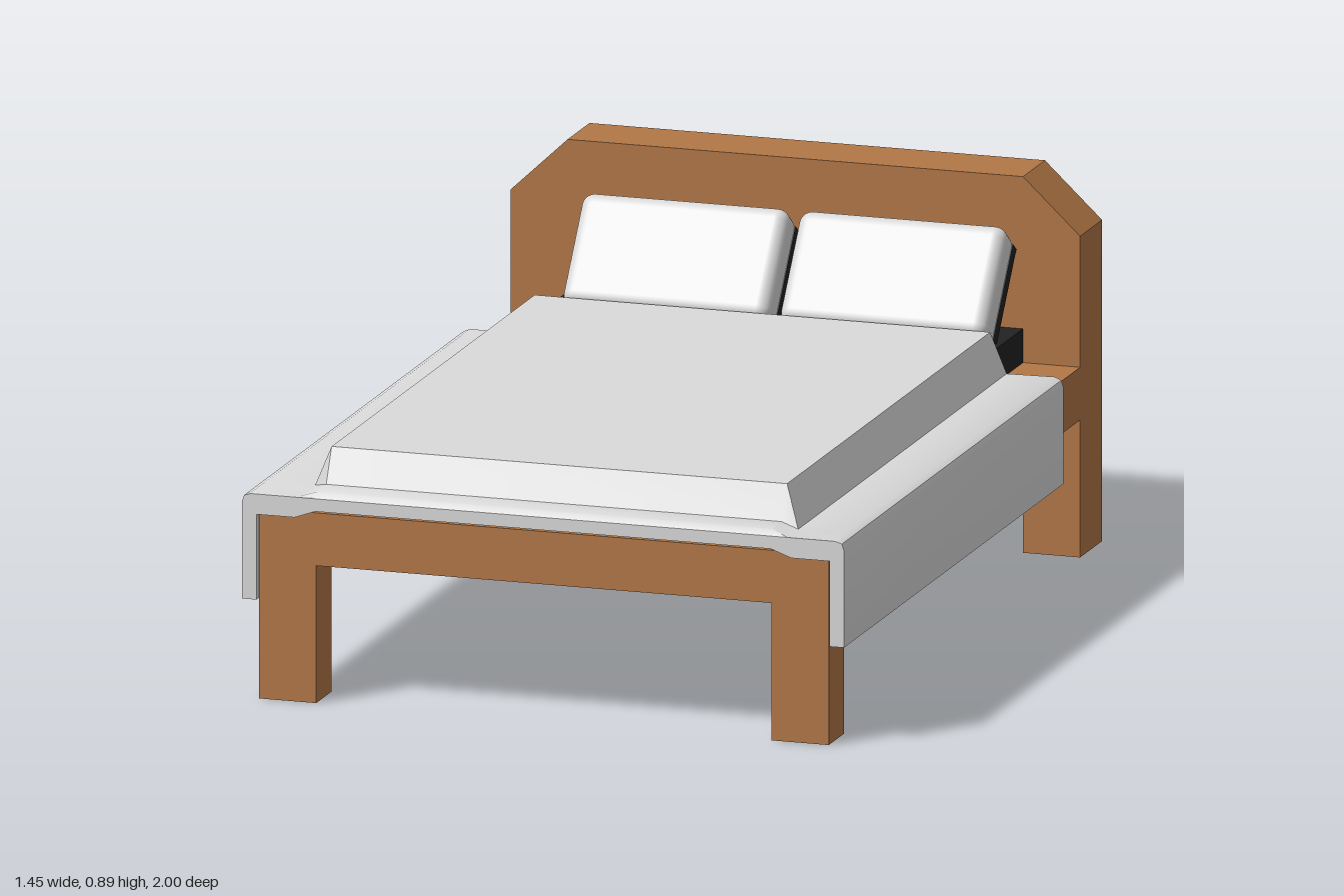
import * as THREE from 'three';
import { toCreasedNormals } from 'three/addons/utils/BufferGeometryUtils.js';
import { RoundedBoxGeometry } from 'three/addons/geometries/RoundedBoxGeometry.js';

const material = (name, color) => {
  const m = new THREE.MeshStandardMaterial({ color });
  m.name = name;
  return m;
};

// Closed shape from right-half points (bottom inner to top, then mirrored)
const mirroredShape = (half) => new THREE.Shape(
  [...half, ...half.map(([x, y]) => [-x, y]).reverse()].map(([x, y]) => new THREE.Vector2(x, y)));

export function createModel() {
  const wood = material('wood', 0xb27747);
  const linen = material('linen', 0xdadada);
  const dark = material('darkFabric', 0x222222);
  const bed = new THREE.Group();
  bed.name = 'bed';

  const add = (name, geometry, mat, x = 0, y = 0, z = 0, parent = bed) => {
    const mesh = new THREE.Mesh(geometry, mat);
    mesh.name = name;
    mesh.position.set(x, y, z);
    parent.add(mesh);
    return mesh;
  };
  const slab = (half, depth) =>
    new THREE.ExtrudeGeometry(mirroredShape(half), { depth, bevelEnabled: false });

  // Headboard and foot end, each cut out between its two legs
  const legs = [[0.55, 0.325], [0.55, 0], [0.688, 0]];
  add('headboard', slab([...legs, [0.688, 0.76], [0.55, 0.89]], 0.16), wood, 0, 0, -1);
  add('footEnd', slab([...legs, [0.688, 0.45]], 0.11), wood, 0, 0, 0.883);

  // Base and mattress
  add('base', new THREE.BoxGeometry(1.376, 0.125, 1.723), wood, 0, 0.3875, 0.0215);
  add('mattress', new THREE.BoxGeometry(1.1, 0.08, 1.7), dark, 0, 0.49, 0.01);

  // Blanket: one cross-section swept along z, dropping over the mattress at the foot
  const section = [
    [0.55, 0.455], [0.6, 0.437], [0.692, 0.437], [0.692, 0.235], [0.727, 0.235],
    [0.727, 0.465], [0.722, 0.48], [0.706, 0.487], [0.59, 0.485], [0.55, 0.58],
  ];
  const blanket = new THREE.ExtrudeGeometry(mirroredShape(section), { depth: 4, steps: 4, bevelEnabled: false });
  const stations = [-0.6, 0.88, 0.92, 0.985, 1];
  const crests = [0.58, 0.58, 0.5, 0.498, 0.485];
  const p = blanket.attributes.position;
  for (let i = 0; i < p.count; i++) {
    const step = Math.round(p.getZ(i));
    p.setY(i, Math.min(p.getY(i), crests[step]));
    p.setZ(i, stations[step]);
  }
  add('blanket', toCreasedNormals(blanket, 0.7), linen);

  // Two pillows leaning on the headboard, each with a dark backing
  for (const x of [-0.24, 0.285]) {
    const pillow = new THREE.Group();
    pillow.name = 'pillow';
    pillow.position.set(x, 0.654, -0.719);
    pillow.rotation.x = -0.6435;
    bed.add(pillow);
    add('pillowCushion', new RoundedBoxGeometry(0.5, 0.28, 0.1, 4, 0.03), linen, 0, 0, 0, pillow);
    add('pillowBacking', new THREE.BoxGeometry(0.503, 0.24, 0.032), dark, 0, 0, -0.036, pillow);
  }
  return bed;
}
